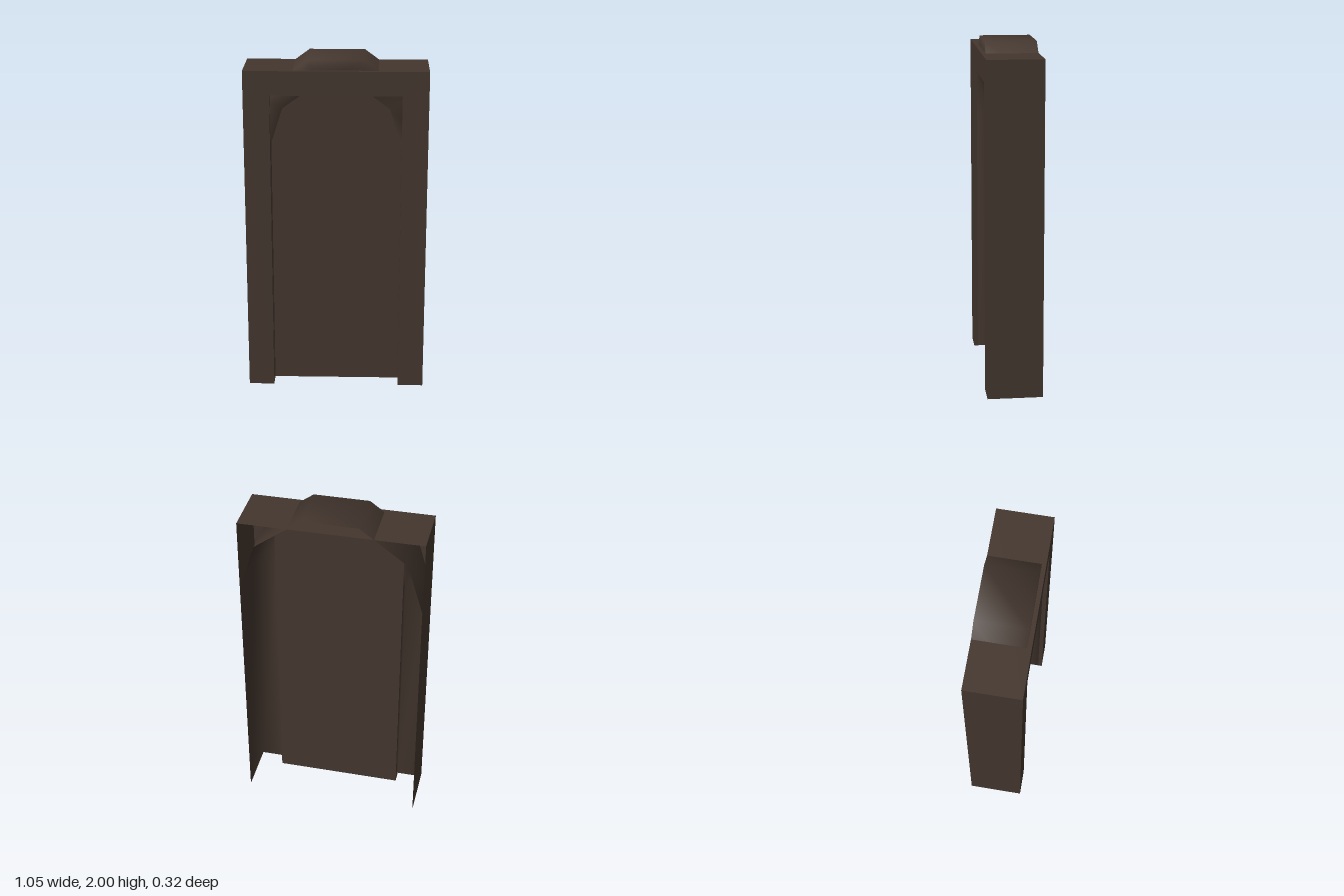
import * as THREE from 'three';

const W = 0.525, H = 1.94, D = 0.16;      // outer casing half width, height, half depth
const OW = 0.375, OH = 1.8;               // opening half width, height
const STEP = 0.135, PANEL = 0.06;         // depth of the arch step and the door panel

// Mirror half of an arch profile into a full left-to-right one
const fullArch = half => [...half.map(([x, y]) => [-x, y]), ...half.slice().reverse()];

// Smooth skin through matching cross-sections, each { points, z }
function skin(sections) {
  const n = sections[0].points.length, pos = [], index = [];
  for (const { points, z } of sections) for (const [x, y] of points) pos.push(x, y, z);
  for (let s = 0; s < sections.length - 1; s++) {
    for (let k = 0; k < n - 1; k++) {
      const a = s * n + k, b = a + 1, c = a + n, d = c + 1;
      index.push(a, c, b, b, c, d);
    }
  }
  const g = new THREE.BufferGeometry();
  g.setAttribute('position', new THREE.Float32BufferAttribute(pos, 3));
  g.setIndex(index);
  g.computeVertexNormals();
  return g;
}

const shapeOf = pts => new THREE.Shape(pts.map(([x, y]) => new THREE.Vector2(x, y)));

export function createModel() {
  const group = new THREE.Group();
  const brown = new THREE.MeshStandardMaterial({ color: 0x43362e, side: THREE.DoubleSide });
  brown.name = 'dark brown';
  const add = (name, geometry, x = 0, y = 0, z = 0) => {
    const mesh = new THREE.Mesh(geometry, brown);
    mesh.name = name;
    mesh.position.set(x, y, z);
    group.add(mesh);
    return mesh;
  };

  // Front of the casing, an upside-down U around the opening
  add('frontFrame', new THREE.ShapeGeometry(shapeOf([
    [-W, 0], [-OW, 0], [-OW, OH], [OW, OH], [OW, 0], [W, 0], [W, H], [-W, H],
  ])), 0, 0, D);

  // Casing sides, top and the jambs lining the opening
  const jambDepth = D - PANEL;
  for (const s of [-1, 1]) {
    const side = s < 0 ? 'right' : 'left';
    add(side + 'Side', new THREE.PlaneGeometry(2 * D, H), s * W, H / 2).rotation.y = s * Math.PI / 2;
    add(side + 'Jamb', new THREE.PlaneGeometry(D - STEP, OH), s * OW, OH / 2, (D + STEP) / 2)
      .rotation.y = -s * Math.PI / 2;
  }
  add('casingTop', new THREE.PlaneGeometry(2 * W, 2 * D), 0, H).rotation.x = -Math.PI / 2;
  add('openingSoffit', new THREE.PlaneGeometry(2 * 0.19, jambDepth), 0, OH, (D + PANEL) / 2)
    .rotation.x = Math.PI / 2;

  // Stepped arch vault, open at the back and rising through the casing top
  const outer = fullArch([[W - 0.002, 0], [W - 0.002, 1.5], [0.433, 1.8], [0.16, 2]]);
  const inner = fullArch([[OW, 0], [OW, 1.5], [0.305, 1.72], [0.113, 1.86]]);
  add('archVault', skin([
    { points: outer, z: -D },
    { points: outer, z: STEP },
    { points: inner, z: STEP },
    { points: inner, z: PANEL },
  ]));

  // Door panel, squared at the shoulders with the arch crown above
  add('doorPanel', new THREE.ShapeGeometry(shapeOf([
    [-OW, 0], [OW, 0], [OW, OH], [0.195, OH], [0.113, 1.86], [-0.113, 1.86], [-0.195, OH], [-OW, OH],
  ])), 0, 0, PANEL);

  return group;
}
